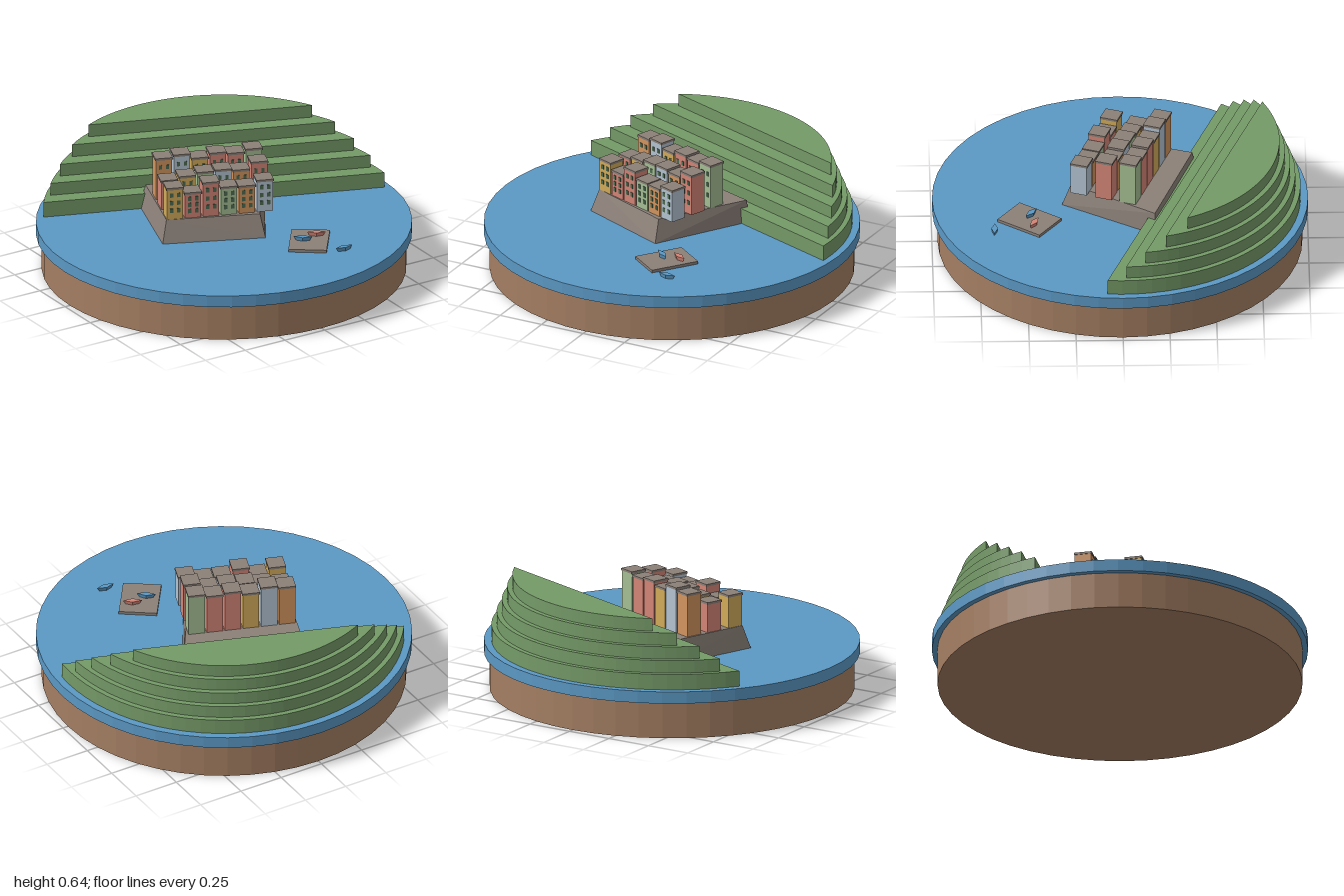
import * as THREE from 'three';
import { ConvexGeometry } from 'three/addons/geometries/ConvexGeometry.js';

const SEA_TOP = 0.265, QUAY_TOP = 0.388, TURN = -Math.PI / 9;

function makeMaterials() {
  const colors = {
    sea: 0x5b98c4, earth: 0xa47e62, grass: 0x759a68, stone: 0x8b8078, yellow: 0xd2ab5a,
    orange: 0xd29560, coral: 0xd48577, sage: 0xa5be93, paleBlue: 0xb4c4d2, shutter: 0x4c6b50,
  };
  const mats = {};
  for (const [name, color] of Object.entries(colors)) {
    mats[name] = new THREE.MeshStandardMaterial({ color, flatShading: true });
    mats[name].name = name;
  }
  return mats;
}

export function createModel() {
  const mats = makeMaterials();
  const model = new THREE.Group();
  model.name = 'coastalVillage';

  const add = (parent, name, geometry, material, x = 0, y = 0, z = 0) => {
    const mesh = new THREE.Mesh(geometry, material);
    mesh.name = name;
    mesh.position.set(x, y, z);
    parent.add(mesh);
    return mesh;
  };
  const addGroup = (parent, name) => {
    const group = new THREE.Group();
    group.name = name;
    parent.add(group);
    return group;
  };

  // Round base and sea
  add(model, 'earthBase', new THREE.CylinderGeometry(0.97, 0.97, 0.2, 48), mats.earth, 0, 0.1, 0);
  add(model, 'sea', new THREE.CylinderGeometry(1, 1, 0.065, 48), mats.sea, 0, 0.2325, 0);

  // Everything on the shore shares one turned frame
  const shore = addGroup(model, 'shore');
  shore.rotation.y = TURN;

  // Terraced hill: stacked circle segments that shrink upward
  const hill = addGroup(shore, 'terracedHill');
  const tops = [0.35, 0.419, 0.487, 0.556, 0.625];
  tops.forEach((top, i) => {
    const radius = 0.96 - 0.028 * i, offset = 0.25 + 0.085 * i;
    const start = Math.asin(offset / radius), points = [];
    for (let k = 0; k <= 32; k++) {
      const a = start + (Math.PI - 2 * start) * k / 32;
      points.push(new THREE.Vector2(radius * Math.cos(a), radius * Math.sin(a)));
    }
    const bottom = i ? tops[i - 1] : SEA_TOP;
    const geometry = new THREE.ExtrudeGeometry(new THREE.Shape(points), { depth: top - bottom, bevelEnabled: false });
    add(hill, 'terrace', geometry.rotateX(-Math.PI / 2), mats.grass, 0, bottom, 0);
  });

  // Sloping stone quay under the houses
  const foot = [[-0.385, 0.235], [0.167, 0.269], [0.286, -0.296], [-0.396, -0.298]];
  const crown = [[-0.357, 0.2], [0.146, 0.226], [0.272, -0.29], [-0.365, -0.28]];
  add(shore, 'quay', new ConvexGeometry([
    ...foot.map(([x, z]) => new THREE.Vector3(x, SEA_TOP, z)),
    ...crown.map(([x, z]) => new THREE.Vector3(x, QUAY_TOP, z)),
  ]), mats.stone);

  // Three rows of narrow houses, taller toward the hill
  const rows = [
    { z: 0.155, houses: [['yellow', 0.57], ['coral', 0.535], ['coral', 0.585], ['sage', 0.55], ['orange', 0.547], ['paleBlue', 0.572]] },
    { z: 0.015, houses: [['coral', 0.555], ['yellow', 0.57], ['sage', 0.585], ['paleBlue', 0.59], ['orange', 0.58], ['coral', 0.617]] },
    { z: -0.12, houses: [['orange', 0.625], ['paleBlue', 0.638], ['yellow', 0.61], ['coral', 0.63], ['coral', 0.62], ['sage', 0.635]] },
  ];
  const roofGeometry = new THREE.BoxGeometry(0.094, 0.012, 0.096);
  const windowGeometry = new THREE.BoxGeometry(0.017, 0.024, 0.004);
  const village = addGroup(shore, 'village');
  for (const row of rows) {
    row.houses.forEach(([color, top], i) => {
      const house = addGroup(village, 'house');
      house.position.set(-0.31 + 0.098 * i, QUAY_TOP, row.z);
      const height = top - QUAY_TOP - 0.012;
      add(house, 'walls', new THREE.BoxGeometry(0.088, height, 0.09), mats[color], 0, height / 2, 0);
      add(house, 'roof', roofGeometry, mats.stone, 0, height + 0.006, 0);
      for (let level = 0; level < 3; level++) {
        for (const side of [-1, 1]) {
          add(house, 'window', windowGeometry, mats.shutter, side * 0.019, height * (0.3 + 0.26 * level), 0.046);
        }
      }
    });
  }

  // Floating pier
  const pier = add(model, 'pier', new THREE.BoxGeometry(0.204, 0.016, 0.272), mats.stone, 0.228, SEA_TOP + 0.008, 0.485);
  pier.rotation.y = -0.63;

  // Diamond-shaped boats, two resting on the pier and one afloat
  const hull = new THREE.CylinderGeometry(0.05, 0.036, 0.022, 4).scale(1, 1, 0.36);
  const boats = [['sea', 0.195, 0.292, 0.475, -0.64], ['coral', 0.29, 0.292, 0.46, -0.5], ['sea', 0.33, 0.276, 0.672, -0.05]];
  for (const [color, x, y, z, turn] of boats) {
    add(model, 'boat', hull, mats[color], x, y, z).rotation.y = turn;
  }
  return model;
}
